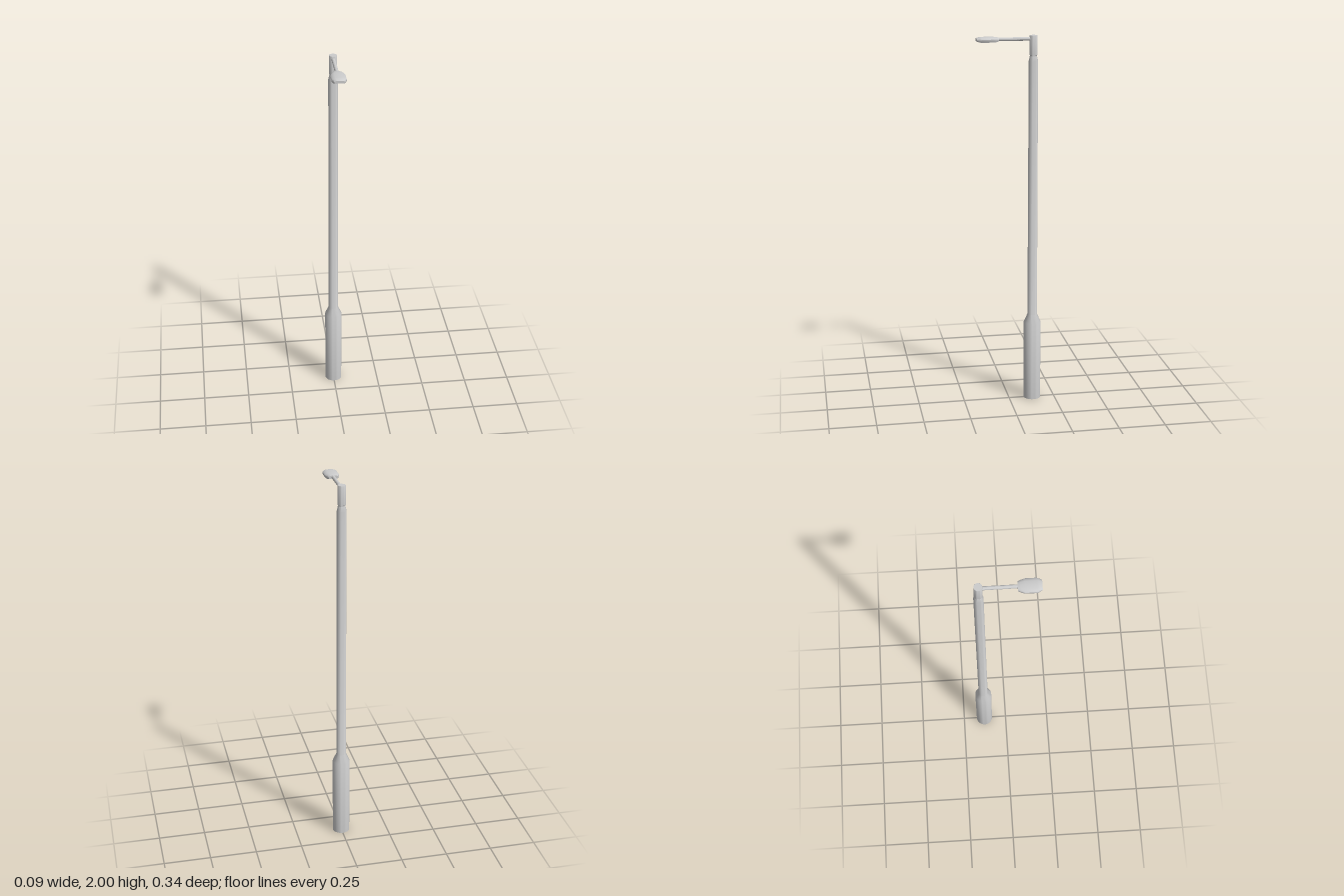
import * as THREE from 'three';
import { toCreasedNormals } from 'three/addons/utils/BufferGeometryUtils.js';

const material = new THREE.MeshStandardMaterial({ color: 0xcccccc });
const POLE_Z = -0.128;

function part(name, geometry, crease = 0.6) {
  const mesh = new THREE.Mesh(toCreasedNormals(geometry, crease), material);
  mesh.name = name;
  return mesh;
}

function turned(name, profile) {
  const points = profile.map(([r, y]) => new THREE.Vector2(r, y));
  const mesh = part(name, new THREE.LatheGeometry(points, 32));
  mesh.position.z = POLE_Z;
  return mesh;
}

// Lamp housing: rings along z, each [z, half width, bottom, top, recess depth]
function headGeometry() {
  const sections = [
    [0.056, 0.024, 1.974, 1.992, 0],
    [0.066, 0.028, 1.972, 1.994, 0],
    [0.07, 0.03, 1.971, 1.9945, 0.008],
    [0.09, 0.037, 1.97, 1.996, 0.008],
    [0.147, 0.037, 1.97, 1.996, 0.008],
    [0.156, 0.033, 1.971, 1.995, 0.008],
    [0.16, 0.031, 1.972, 1.994, 0],
    [0.171, 0.025, 1.975, 1.99, 0],
  ];
  // Right half of a ring from the underside to the crown: [x, y, recessed]
  const half = [[0.66, 0, 1], [0.72, 0, 0], [0.9, 0, 0], [1, 0.25, 0], [1, 0.6, 0], [0.85, 0.83, 0], [0.5, 0.96, 0]];
  const outline = [...half, [0, 1, 0], ...half.map(([x, y, r]) => [-x, y, r]).reverse()];
  const n = outline.length, positions = [], index = [];
  for (const [z, w, lo, hi, depth] of sections)
    for (const [x, y, r] of outline) positions.push(x * w, lo + y * (hi - lo) + r * depth, z);
  for (let i = 0; i < sections.length - 1; i++)
    for (let j = 0; j < n; j++) {
      const a = i * n + j, b = i * n + (j + 1) % n;
      index.push(a, b, b + n, a, b + n, a + n);
    }
  // End caps
  const last = (sections.length - 1) * n;
  for (let j = 1; j < n - 1; j++) index.push(0, j + 1, j, last, last + j, last + j + 1);
  const g = new THREE.BufferGeometry();
  g.setAttribute('position', new THREE.Float32BufferAttribute(positions, 3));
  g.setIndex(index);
  return g;
}

export function createModel() {
  const group = new THREE.Group();
  group.name = 'streetLamp';

  // Wide base tapering into the long shaft
  group.add(turned('pole', [
    [0, 0], [0.046, 0], [0.046, 0.44], [0.026, 0.485], [0.0245, 1.868], [0.019, 1.892], [0, 1.892],
  ]));

  // Narrow sleeve carrying the arm
  group.add(turned('topSleeve', [
    [0, 1.88], [0.018, 1.88], [0.018, 1.897], [0.021, 1.899], [0.021, 1.998], [0.02, 2], [0, 2],
  ]));

  // Horizontal arm
  const arm = part('arm', new THREE.CylinderGeometry(0.0095, 0.0095, 0.19, 20).rotateX(Math.PI / 2));
  arm.position.set(0, 1.982, POLE_Z + 0.095);
  group.add(arm);

  group.add(part('lampHead', headGeometry(), 0.7));
  return group;
}
